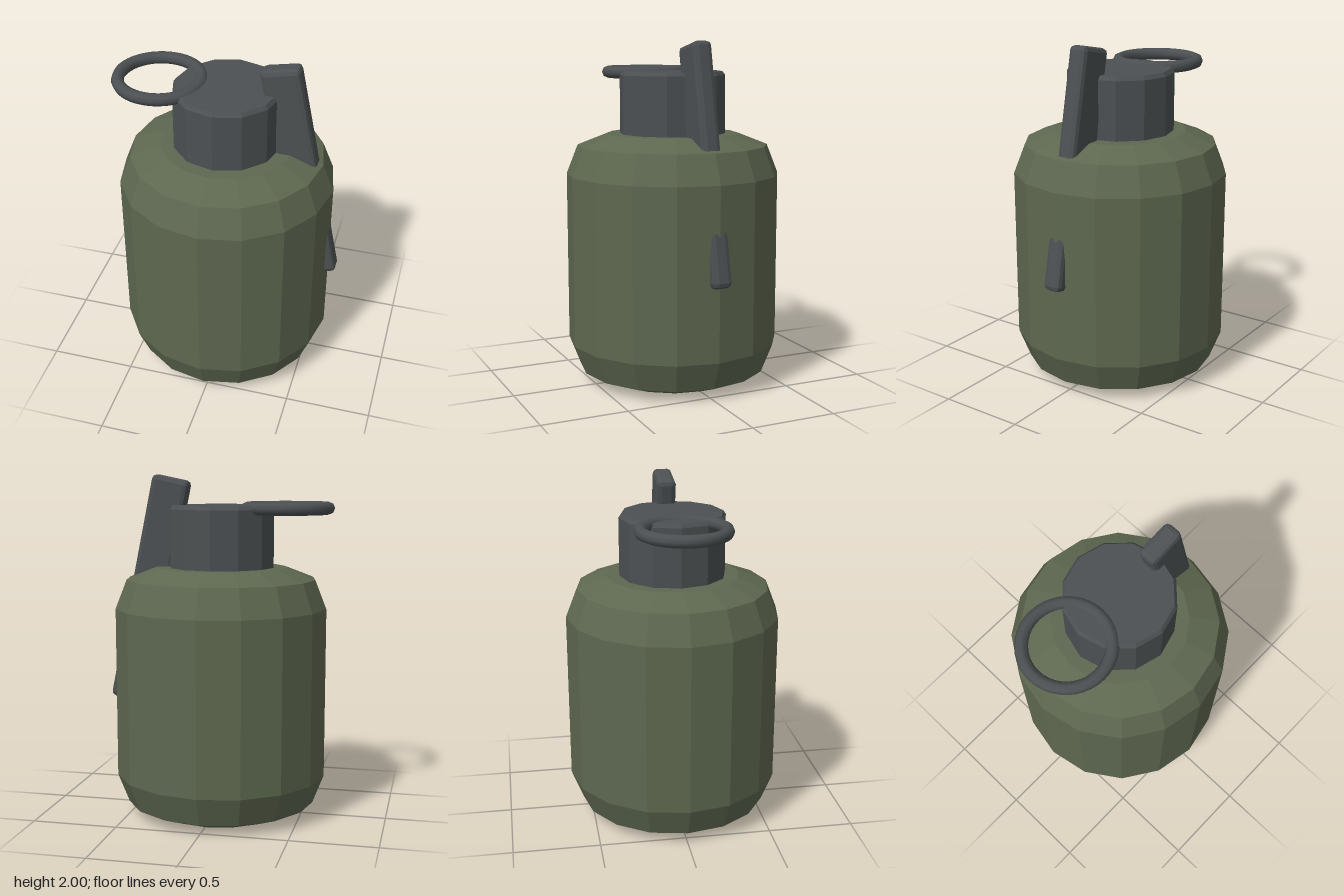
import * as THREE from 'three';
import { RoundedBoxGeometry } from 'three/addons/geometries/RoundedBoxGeometry.js';

const bodyGreen = new THREE.MeshStandardMaterial({ color: 0x5e6850 });
bodyGreen.name = 'olive green';
const metalGrey = new THREE.MeshStandardMaterial({ color: 0x4c5052 });
metalGrey.name = 'dark grey metal';

// Give every face its own normal for a low-poly look
function faceted(geometry) {
  const flat = geometry.index ? geometry.toNonIndexed() : geometry;
  flat.computeVertexNormals();
  return flat;
}

function part(name, geometry, material, x, y, z) {
  const mesh = new THREE.Mesh(geometry, material);
  mesh.name = name;
  mesh.position.set(x, y, z);
  return mesh;
}

function turned(profile, sides) {
  return faceted(new THREE.LatheGeometry(profile.map(([r, y]) => new THREE.Vector2(r, y)), sides));
}

export function createModel() {
  const model = new THREE.Group();
  model.name = 'canister';

  // Sixteen-sided body with stepped shoulders
  const bodyProfile = [
    [0, 0], [0.385, 0], [0.557, 0.068], [0.623, 0.237],
    [0.623, 1.23], [0.557, 1.398], [0.385, 1.465], [0, 1.465],
  ];
  model.add(part('body', turned(bodyProfile, 16), bodyGreen, -0.008, 0, 0));

  // Twelve-sided cap with a small bevel on top
  const capProfile = [[0, 1.4], [0.309, 1.4], [0.309, 1.803], [0.293, 1.825], [0, 1.825]];
  model.add(part('cap', turned(capProfile, 12), metalGrey, -0.011, 0, 0));

  // Pull ring lying flat over the edge of the cap
  const ringGeometry = new THREE.TorusGeometry(0.234, 0.036, 8, 40);
  ringGeometry.rotateX(Math.PI / 2);
  model.add(part('pullRing', ringGeometry, metalGrey, -0.4, 1.81, 0));

  // Long slanted lever passing through the shoulder and out of the side
  const lever = part('lever', faceted(new RoundedBoxGeometry(0.225, 1.36, 0.112, 1, 0.028)),
    metalGrey, 0.423, 1.317, 0);
  lever.rotation.z = 0.204;
  model.add(lever);

  return model;
}
